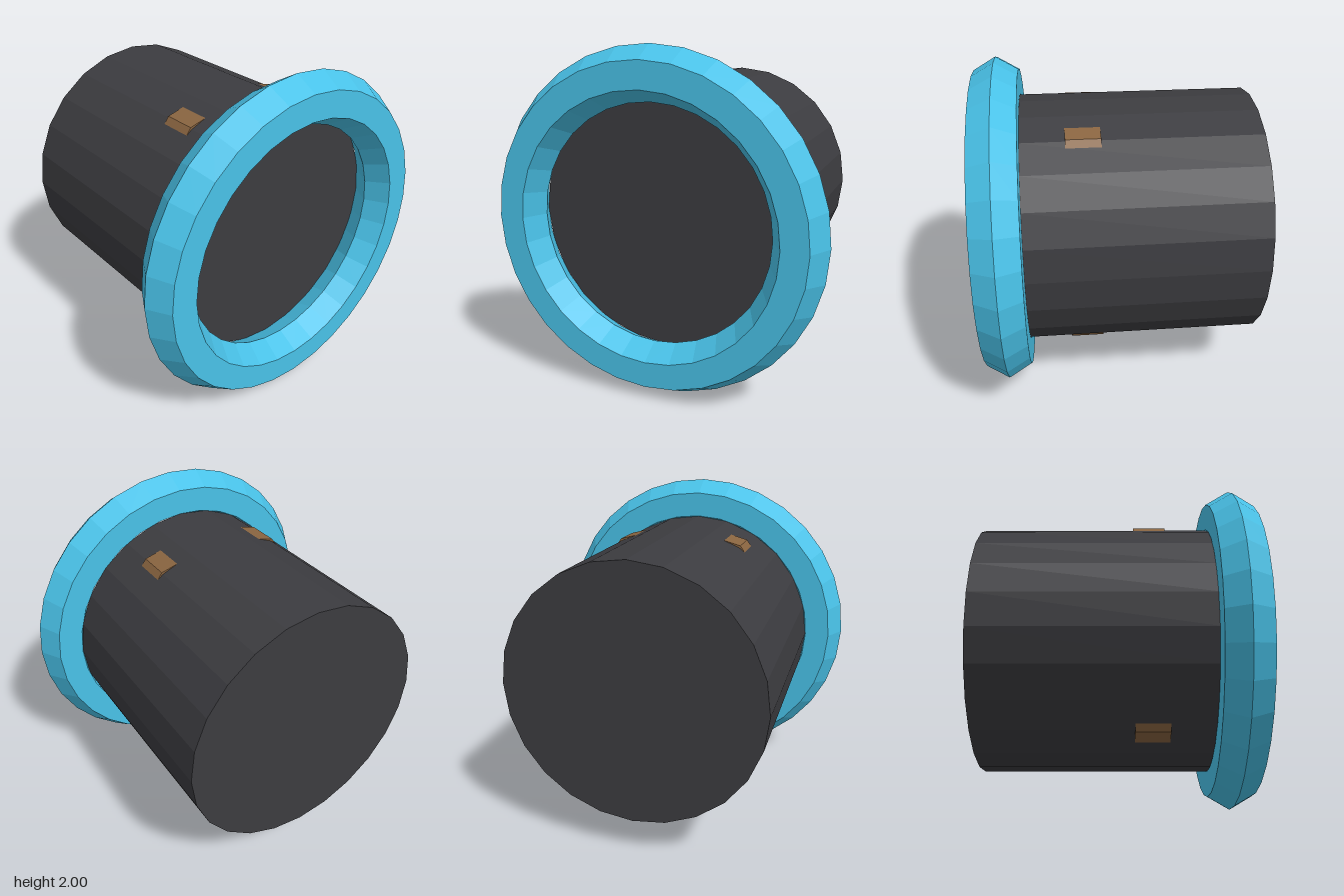
import * as THREE from 'three';

const mat = (color) => new THREE.MeshStandardMaterial({ color, flatShading: true });

export function createModel() {
  const model = new THREE.Group();
  const dark = mat(0x3c3c40), blue = mat(0x49c2e8), brown = mat(0x8a6540);

  const add = (name, geometry, material, z) => {
    const mesh = new THREE.Mesh(geometry, material);
    mesh.name = name;
    mesh.position.set(0, 1, z);
    model.add(mesh);
    return mesh;
  };

  // Barrel lying along z, closed at both ends
  const back = -0.82, front = 0.565;
  const barrel = new THREE.CylinderGeometry(0.767, 0.767, front - back, 24);
  barrel.rotateX(Math.PI / 2);
  add('barrel', barrel, dark, (front + back) / 2);

  // Rim ring with a hexagonal section
  add('rimRing', new THREE.TorusGeometry(0.847, 0.153, 6, 32), blue, 0.69);

  // Four small lugs half sunk into the barrel, mirrored in x and y
  const section = [[0.28, 0.706], [0.39, 0.677], [0.42, 0.635], [0.37, 0.6], [0.26, 0.66]];
  for (const sx of [1, -1]) {
    for (const sy of [1, -1]) {
      const shape = new THREE.Shape(section.map(([x, y]) => new THREE.Vector2(x * sx, y * sy)));
      const lug = new THREE.ExtrudeGeometry(shape, { depth: 0.2, bevelEnabled: false });
      add((sy > 0 ? 'upper' : 'lower') + (sx > 0 ? 'Left' : 'Right') + 'Lug', lug, brown, 0.105);
    }
  }
  return model;
}
